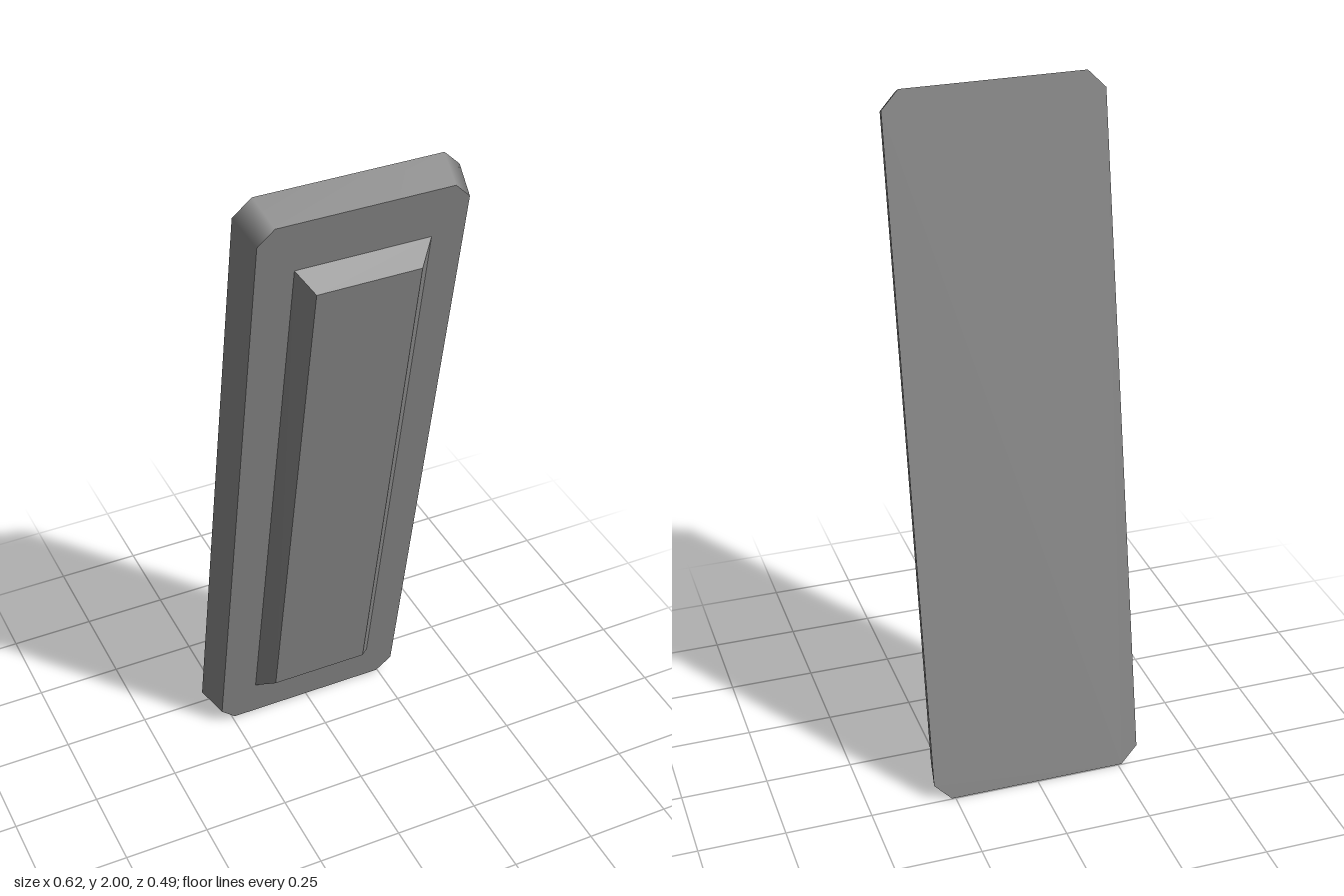
import * as THREE from 'three';

// Outline, counter-clockwise from the front, lying on the sloped plane z = z0 + slope * y
function outline(x0, x1, y0, y1, cutX, cutY, z0, slope) {
  const pts = cutX
    ? [[x0 + cutX, y0], [x1 - cutX, y0], [x1, y0 + cutY], [x1, y1 - cutY],
       [x1 - cutX, y1], [x0 + cutX, y1], [x0, y1 - cutY], [x0, y0 + cutY]]
    : [[x0, y0], [x1, y0], [x1, y1], [x0, y1]];
  return pts.map(([x, y]) => [x, y, z0 + slope * y]);
}

function surface(points, index) {
  const g = new THREE.BufferGeometry();
  g.setAttribute('position', new THREE.Float32BufferAttribute(points.flat(), 3));
  g.setIndex(index);
  g.computeVertexNormals();
  return g;
}

// Flat face filling an outline
function cap(ring, flip) {
  const index = [];
  for (let i = 1; i < ring.length - 1; i++) index.push(0, ...(flip ? [i + 1, i] : [i, i + 1]));
  return surface(ring, index);
}

// Band of quads from the back outline to the front one
function band(back, front, flat) {
  const n = back.length, index = [];
  for (let i = 0; i < n; i++) {
    const j = (i + 1) % n;
    index.push(i, j, n + j, i, n + j, n + i);
  }
  const g = surface([...back, ...front], index);
  if (!flat) return g;
  const hard = g.toNonIndexed();
  hard.computeVertexNormals();
  return hard;
}

export function createModel() {
  const grey = new THREE.MeshStandardMaterial({ color: 0x888888 });
  grey.name = 'grey';
  const model = new THREE.Group();
  model.name = 'leaningPanel';
  const add = (name, geometry) => {
    const mesh = new THREE.Mesh(geometry, grey);
    mesh.name = name;
    model.add(mesh);
  };

  // Leaning slab with cut corners, tapering slightly to the front
  const back = outline(-0.311, 0.311, 0, 2, 0.05, 0.05, -0.248, 0.194);
  const front = outline(-0.289, 0.289, 0.006, 1.96, 0.045, 0.046, -0.141, 0.193);
  add('slabBack', cap(back, true));
  add('slabSides', band(back, front, false));
  add('slabFront', cap(front, false));

  // Raised bevelled panel on the front
  const base = outline(-0.182, 0.196, 0.135, 1.81, 0, 0, -0.141, 0.193);
  const face = outline(-0.14, 0.153, 0.177, 1.75, 0, 0, -0.09, 0.1925);
  add('raisedPanelBevel', band(base, face, true));
  add('raisedPanelFace', cap(face, false));
  return model;
}
